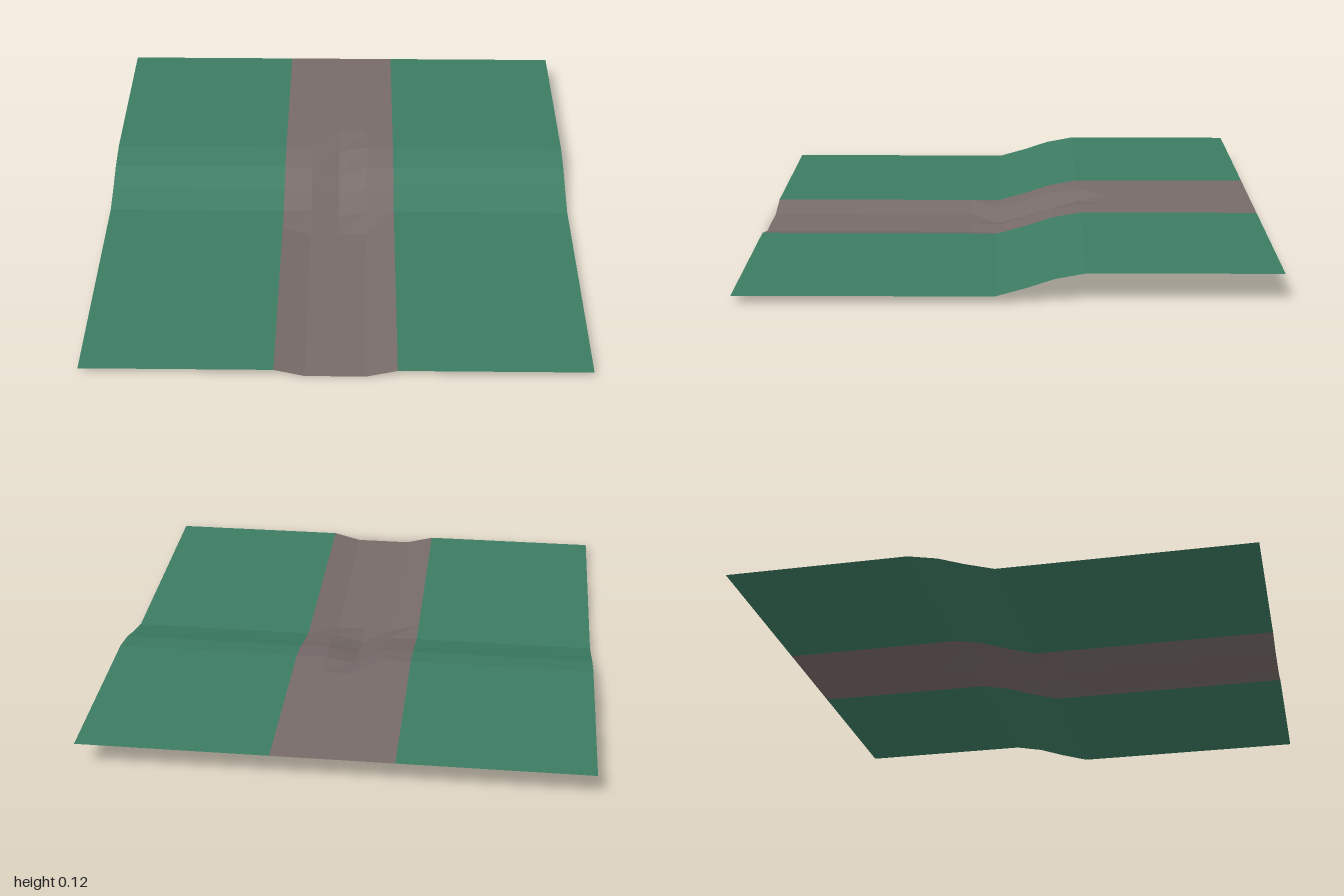
import * as THREE from 'three';

// Depth rows from front to back, and the height of the bank at each row
const rows = [1, 0.16, 0.045, -0.07, -0.173, -0.288, -0.403, -1];
const bank = [0.03, 0.03, 0.03, 0.063, 0.098, 0.12, 0.12, 0.12];

// Sheet over columns xs and the rows; each cell splits from front left to back right
function terrain(name, xs, height, material) {
  const points = [], index = [], n = xs.length;
  rows.forEach((z, r) => xs.forEach((x, c) => points.push(x, height(r, c), z)));
  for (let r = 0; r < rows.length - 1; r++) {
    for (let c = 0; c < n - 1; c++) {
      const a = r * n + c, b = a + 1, d = a + n, e = d + 1;
      index.push(a, b, e, a, e, d);
    }
  }
  const indexed = new THREE.BufferGeometry();
  indexed.setAttribute('position', new THREE.Float32BufferAttribute(points, 3));
  indexed.setIndex(index);
  const geometry = indexed.toNonIndexed();
  geometry.computeVertexNormals();
  const mesh = new THREE.Mesh(geometry, material);
  mesh.name = name;
  return mesh;
}

export function createModel() {
  const grass = new THREE.MeshStandardMaterial({ color: 0x3c7c62, flatShading: true, side: THREE.DoubleSide });
  grass.name = 'grass green';
  const earth = new THREE.MeshStandardMaterial({ color: 0x776b69, flatShading: true, side: THREE.DoubleSide });
  earth.name = 'earth brown';

  const group = new THREE.Group();
  group.name = 'slopedGroundTile';

  // Grass on both sides of the channel
  group.add(terrain('rightGrass', [-0.955, -0.23], (r) => bank[r], grass));
  group.add(terrain('leftGrass', [0.23, 0.955], (r) => bank[r], grass));

  // Channel: wide sunken bed in front, narrow groove up the slope, flat behind
  const channelHeight = (r, c) => {
    if (c === 0 || c === 4) return bank[r];
    if (r < 2) return 0;
    if (c !== 2) return bank[r];
    return r === 2 ? 0 : bank[r - 1];
  };
  group.add(terrain('channel', [-0.23, -0.115, 0, 0.115, 0.23], channelHeight, earth));
  return group;
}
